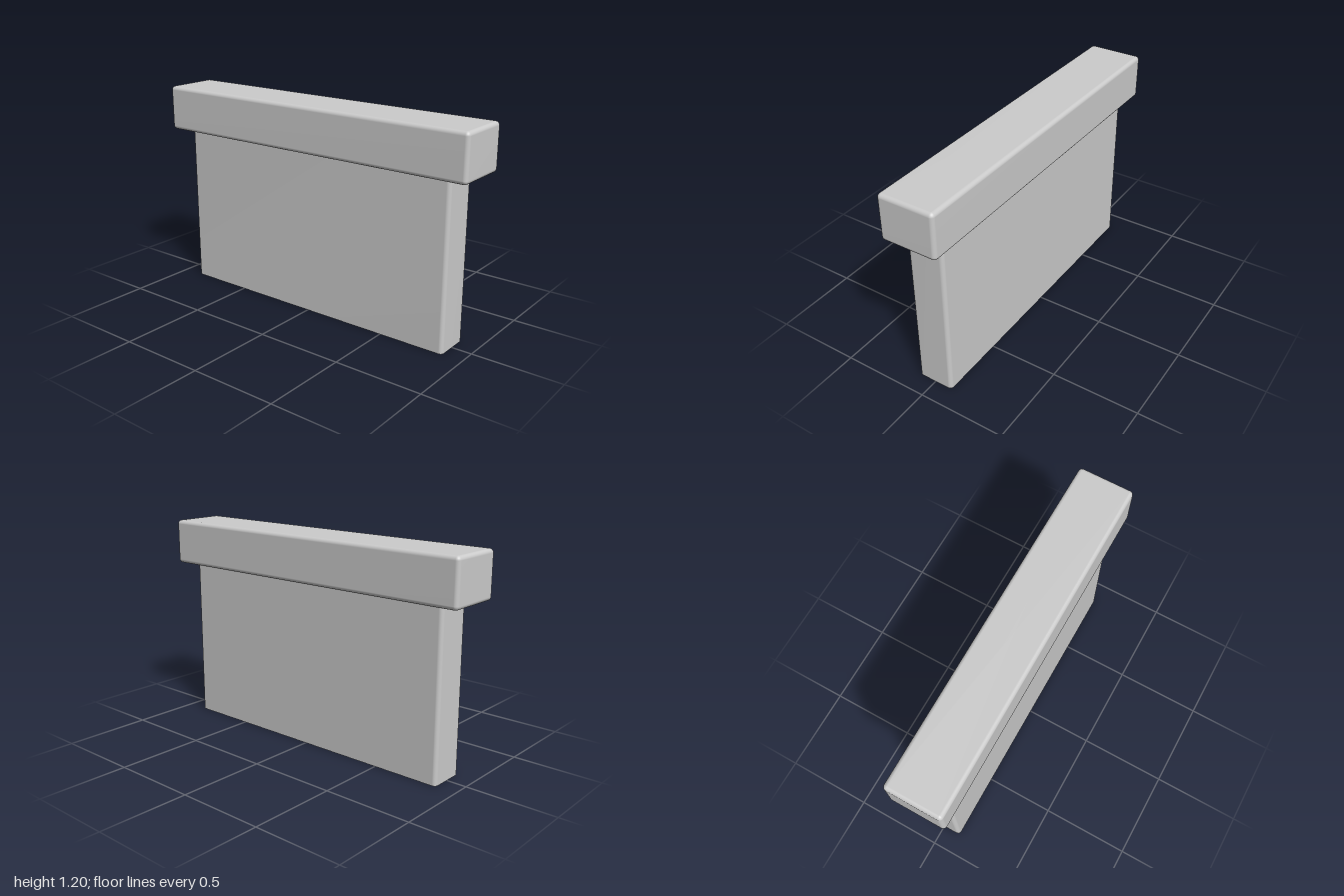
import * as THREE from 'three';

const STEPS = 6; // segments per rounded quarter

// Rounded rectangle ring at height y; "grow" offsets the outline outwards.
function ring(hx, hz, r, grow, y) {
  const pts = [];
  [[1, 1], [-1, 1], [-1, -1], [1, -1]].forEach(([sx, sz], corner) => {
    for (let i = 0; i <= STEPS; i++) {
      const a = (corner + i / STEPS) * Math.PI / 2;
      pts.push([sx * (hx - r) + (r + grow) * Math.cos(a), y, sz * (hz - r) + (r + grow) * Math.sin(a)]);
    }
  });
  return pts;
}

// Skin a stack of rings (bottom to top), optionally closing either end.
function loft(rings, closeBottom, closeTop) {
  const n = rings[0].length, pos = rings.flat(2), idx = [];
  for (let k = 0; k < rings.length - 1; k++) {
    for (let i = 0; i < n; i++) {
      const j = (i + 1) % n, a = k * n + i, b = k * n + j;
      idx.push(a, a + n, b, b, a + n, b + n);
    }
  }
  const close = (k, up) => {
    const c = pos.length / 3;
    pos.push(0, rings[k][0][1], 0);
    for (let i = 0; i < n; i++) {
      const a = k * n + i, b = k * n + (i + 1) % n;
      up ? idx.push(c, b, a) : idx.push(c, a, b);
    }
  };
  if (closeBottom) close(0, false);
  if (closeTop) close(rings.length - 1, true);
  const g = new THREE.BufferGeometry();
  g.setAttribute('position', new THREE.Float32BufferAttribute(pos, 3));
  g.setIndex(idx);
  g.computeVertexNormals();
  return g;
}

// Quarter-round edge: calls f(sin, 1 - cos) from 0 to 90 degrees.
const quarter = f => Array.from({ length: STEPS + 1 }, (_, i) => {
  const a = i / STEPS * Math.PI / 2;
  return f(Math.sin(a), 1 - Math.cos(a));
});

export function createModel() {
  const group = new THREE.Group();
  const material = new THREE.MeshStandardMaterial({ color: 0xcccccc });
  const add = (name, geometry) => {
    const mesh = new THREE.Mesh(geometry, material);
    mesh.name = name;
    group.add(mesh);
  };

  const r = 0.022, fillet = 0.014, capY = 0.94, topY = 1.2;
  const panel = (grow, y) => ring(0.885, 0.105, r, grow, y);
  const cap = (grow, y) => ring(1, 0.162, r, grow, y);
  const flare = panel(fillet, capY);

  // Upright panel: rounded bottom edge, small fillet where it meets the cap
  add('panel', loft([
    ...quarter((s, c) => panel(-r * (1 - s), r * (1 - Math.sqrt(1 - (1 - s) ** 2)))),
    ...quarter((s, c) => panel(fillet * c, capY - fillet * (1 - s))),
  ], true, false));

  // Overhanging cap: flat underside, rounded edges all round
  add('cap', loft([
    flare,
    ...quarter((s, c) => cap(-r * (1 - s), capY + r * c)),
    ...quarter((s, c) => cap(-r * c, topY - r * (1 - s))),
  ], false, true));

  return group;
}
